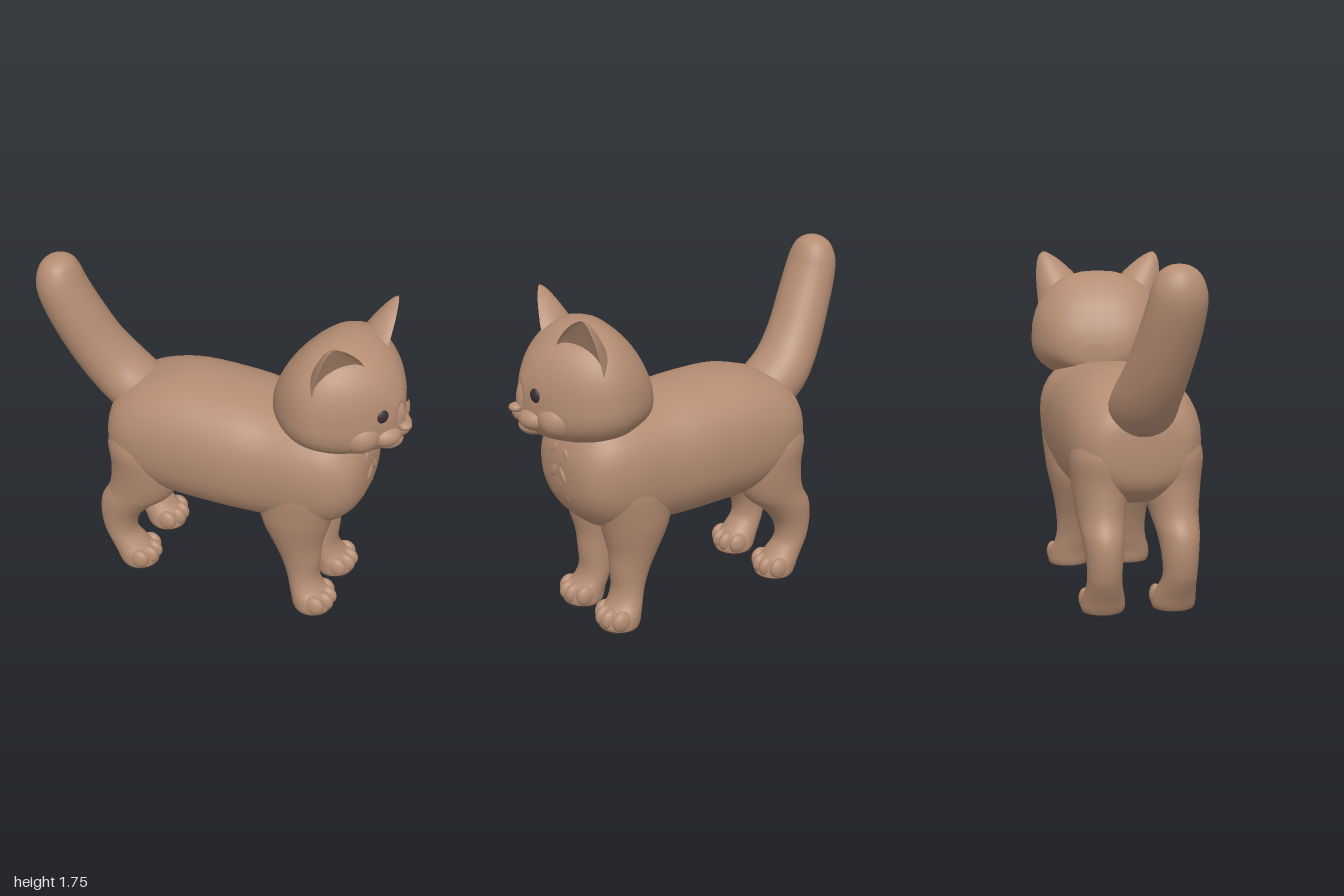
import * as THREE from 'three';

const fur = new THREE.MeshStandardMaterial({ color: 0xb48c72 });
fur.name = 'tan fur';
const dark = new THREE.MeshStandardMaterial({ color: 0x372d30 });
dark.name = 'dark brown';

const SIDES = 32;

// Smoothly interpolates rows of section numbers
function smooth(rows, steps = 4) {
  const out = [];
  const at = i => rows[Math.min(rows.length - 1, Math.max(0, i))];
  for (let i = 0; i < rows.length - 1; i++) {
    for (let s = 0; s < steps; s++) {
      const t = s / steps;
      out.push(at(i).map((b, k) => {
        const a = at(i - 1)[k], c = at(i + 1)[k], d = at(i + 2)[k];
        return b + 0.5 * t * (c - a + t * (2 * a - 5 * b + 4 * c - d + t * (3 * (b - c) + d - a)));
      }));
    }
  }
  out.push(rows[rows.length - 1]);
  return out;
}

// Closed skin over section rows; point(row, cos, sin) gives [x, y, z]
function loft(rows, point) {
  const pos = [], index = [];
  const sections = smooth(rows);
  const last = sections.length - 1;
  for (const row of sections) {
    for (let j = 0; j < SIDES; j++) {
      const a = (j / SIDES) * Math.PI * 2;
      pos.push(...point(row, Math.cos(a), Math.sin(a)));
    }
  }
  const base = (last + 1) * SIDES;
  for (const i of [0, last]) {
    const mid = [0, 0, 0];
    for (let j = 0; j < SIDES; j++) {
      for (let k = 0; k < 3; k++) mid[k] += pos[(i * SIDES + j) * 3 + k] / SIDES;
    }
    pos.push(...mid);
  }
  for (let j = 0; j < SIDES; j++) {
    const n = (j + 1) % SIDES;
    for (let i = 0; i < last; i++) {
      const a = i * SIDES + j, b = i * SIDES + n;
      index.push(a, b, a + SIDES, b, b + SIDES, a + SIDES);
    }
    index.push(base, n, j, base + 1, last * SIDES + j, last * SIDES + n);
  }
  // Turn the skin outward when its signed volume is negative
  let volume = 0;
  const v = i => new THREE.Vector3().fromArray(pos, i * 3);
  for (let i = 0; i < index.length; i += 3) {
    volume += v(index[i]).dot(v(index[i + 1]).cross(v(index[i + 2])));
  }
  if (volume < 0) index.reverse();
  const g = new THREE.BufferGeometry();
  g.setAttribute('position', new THREE.Float32BufferAttribute(pos, 3));
  g.setIndex(index);
  g.computeVertexNormals();
  return g;
}

function add(parent, name, geometry, material = fur) {
  const mesh = new THREE.Mesh(geometry, material);
  mesh.name = name;
  parent.add(mesh);
  return mesh;
}

function blob(parent, name, center, radii, material = fur) {
  const mesh = add(parent, name, new THREE.SphereGeometry(1, 20, 14), material);
  mesh.position.set(...center);
  mesh.scale.set(...radii);
  return mesh;
}

// Full, slightly squared section: row = [x, low y, widest y, high y, half width]
const soft = c => Math.sign(c) * Math.abs(c) ** 0.86;
const trunkPoint = ([x, lo, mid, hi, rz], c, s) =>
  [x, mid + soft(s) * (s > 0 ? hi - mid : mid - lo), soft(c) * rz];

// Horizontal section: row = [y, x, rx, z, rz]
const legPoint = ([y, x, rx, z, rz], c, s) => [x + c * rx, y, z + s * rz];

function addLeg(parent, name, rows, side, toeX) {
  const leg = new THREE.Group();
  leg.name = name;
  parent.add(leg);
  add(leg, 'legAndPaw', loft(rows.map(([y, x, rx, z, rz]) => [y, x, rx, z * side, rz]), legPoint));
  const [, footX, footRx, footZ, footRz] = rows[rows.length - 1];
  for (let i = 0; i < 4; i++) {
    const k = i - 1.5;
    blob(leg, 'toe', [toeX - 0.016 * k * k, 0.061, footZ * side + k * 0.054], [0.056, 0.056, 0.034]);
  }
  const pad = add(leg, 'pawPad', new THREE.CylinderGeometry(1, 1, 0.008, 28), dark);
  pad.position.set(footX + 0.005, 0.004, footZ * side);
  pad.scale.set(footRx, 1, footRz);
}

export function createModel() {
  const cat = new THREE.Group();
  cat.name = 'cat';

  // Trunk from rump to chest
  add(cat, 'body', loft([
    [-0.605, 0.78, 0.84, 0.9, 0.08],
    [-0.588, 0.66, 0.83, 1.0, 0.21],
    [-0.52, 0.58, 0.83, 1.08, 0.285],
    [-0.4, 0.535, 0.84, 1.14, 0.33],
    [-0.2, 0.5, 0.85, 1.185, 0.35],
    [0.1, 0.495, 0.85, 1.18, 0.352],
    [0.3, 0.495, 0.85, 1.155, 0.335],
    [0.5, 0.5, 0.86, 1.16, 0.33],
    [0.64, 0.55, 0.86, 1.14, 0.305],
    [0.73, 0.63, 0.86, 1.07, 0.25],
    [0.775, 0.72, 0.86, 0.98, 0.17],
    [0.79, 0.8, 0.86, 0.91, 0.06],
  ], trunkPoint));

  // Chest fur tufts
  for (const [y, z] of [[0.95, 0.06], [0.93, 0.15], [0.85, 0.04], [0.83, 0.12], [0.75, 0.05]]) {
    for (const side of [1, -1]) {
      const x = 0.789 - 1.2 * z * z - 1.5 * (y - 0.86) ** 2;
      const tuft = blob(cat, 'chestTuft', [x, y, z * side], [0.012, 0.045, 0.02]);
      tuft.rotation.x = -0.6 * side;
    }
  }

  // Legs
  const frontRows = [
    [0.95, 0.48, 0.14, 0.16, 0.09], [0.8, 0.48, 0.22, 0.17, 0.15],
    [0.6, 0.45, 0.195, 0.165, 0.145], [0.5, 0.445, 0.172, 0.157, 0.135],
    [0.4, 0.455, 0.135, 0.153, 0.115], [0.3, 0.475, 0.108, 0.15, 0.1],
    [0.2, 0.49, 0.085, 0.15, 0.095], [0.13, 0.512, 0.087, 0.158, 0.1],
    [0.08, 0.545, 0.105, 0.168, 0.11], [0.03, 0.558, 0.108, 0.17, 0.112],
    [0.006, 0.56, 0.1, 0.17, 0.105],
  ];
  const hindRows = [
    [0.95, -0.4, 0.13, 0.18, 0.09], [0.8, -0.4, 0.19, 0.18, 0.15],
    [0.65, -0.385, 0.195, 0.18, 0.145], [0.5, -0.42, 0.175, 0.185, 0.122],
    [0.4, -0.5, 0.143, 0.19, 0.105], [0.3, -0.545, 0.107, 0.19, 0.092],
    [0.2, -0.545, 0.09, 0.19, 0.086], [0.13, -0.505, 0.1, 0.185, 0.094],
    [0.08, -0.465, 0.113, 0.182, 0.106], [0.03, -0.447, 0.107, 0.18, 0.11],
    [0.006, -0.44, 0.1, 0.18, 0.103],
  ];
  for (const side of [1, -1]) {
    const word = side > 0 ? 'Left' : 'Right';
    addLeg(cat, 'front' + word + 'Leg', frontRows, side, 0.629);
    addLeg(cat, 'hind' + word + 'Leg', hindRows, side, -0.376);
  }

  // Raised tail: row = [x, y, z, radius, tilt]
  add(cat, 'tail', loft([
    [-0.4, 0.94, 0, 0.13, 0.7], [-0.52, 1.02, 0, 0.15, 0.75],
    [-0.62, 1.11, 0.005, 0.148, 0.85], [-0.72, 1.25, 0.035, 0.14, 1.05],
    [-0.81, 1.43, 0.07, 0.134, 1.15], [-0.868, 1.57, 0.09, 0.126, 1.25],
    [-0.886, 1.65, 0.093, 0.113, 1.35], [-0.888, 1.71, 0.093, 0.086, 1.45],
    [-0.888, 1.742, 0.093, 0.045, 1.5], [-0.888, 1.75, 0.093, 0.008, 1.5],
  ], ([x, y, z, r, tilt], c, s) =>
    [x + c * r * Math.sin(tilt), y + c * r * Math.cos(tilt), z + s * r * 1.12]));

  // Head, turned a little to its left
  const head = new THREE.Group();
  head.name = 'head';
  head.position.x = 0.57;
  head.rotation.y = -0.21;
  cat.add(head);
  add(head, 'skull', loft([
    [-0.265, 1.13, 1.19, 1.24, 0.07], [-0.24, 1.1, 1.22, 1.34, 0.18],
    [-0.17, 1.07, 1.24, 1.475, 0.275], [-0.06, 1.035, 1.24, 1.58, 0.345],
    [0.05, 1.025, 1.24, 1.612, 0.362], [0.15, 1.03, 1.23, 1.595, 0.325],
    [0.24, 1.045, 1.23, 1.545, 0.255], [0.31, 1.07, 1.24, 1.475, 0.17],
    [0.35, 1.1, 1.25, 1.41, 0.1], [0.375, 1.15, 1.26, 1.35, 0.045],
  ], trunkPoint));

  // Muzzle and nose
  blob(head, 'chin', [0.3, 1.11, 0], [0.09, 0.048, 0.085]);
  blob(head, 'noseBridge', [0.325, 1.25, 0], [0.073, 0.12, 0.055]);
  blob(head, 'nose', [0.402, 1.213, 0], [0.035, 0.023, 0.036]);

  for (const side of [1, -1]) {
    const word = side > 0 ? 'left' : 'right';
    blob(head, word + 'WhiskerPad', [0.305, 1.165, 0.05 * side], [0.1, 0.064, 0.092]);
    blob(head, word + 'Cheek', [0.22, 1.18, 0.14 * side], [0.12, 0.1, 0.11]);
    blob(head, word + 'Eye', [0.322, 1.3, 0.098 * side], [0.035, 0.045, 0.044], dark);

    // Cupped ear opening forward and outward: row = [y, x, rx, z, rz]
    const turn = 0.5 * side;
    add(head, word + 'Ear', loft([
      [1.4, 0.11, 0.17, 0.2, 0.14], [1.5, 0.135, 0.15, 0.212, 0.138],
      [1.58, 0.145, 0.115, 0.238, 0.115], [1.65, 0.148, 0.072, 0.27, 0.074],
      [1.69, 0.146, 0.037, 0.29, 0.038], [1.708, 0.144, 0.01, 0.298, 0.01],
    ], ([y, x, rx, z, rz], c, s) => {
      const dx = c > 0 ? -0.3 * c * rx : c * rx;
      const dz = s * rz;
      return [
        x + 0.02 + dx * Math.cos(turn) - dz * Math.sin(turn),
        y,
        z * side + dx * Math.sin(turn) + dz * Math.cos(turn),
      ];
    }));
  }
  return cat;
}
